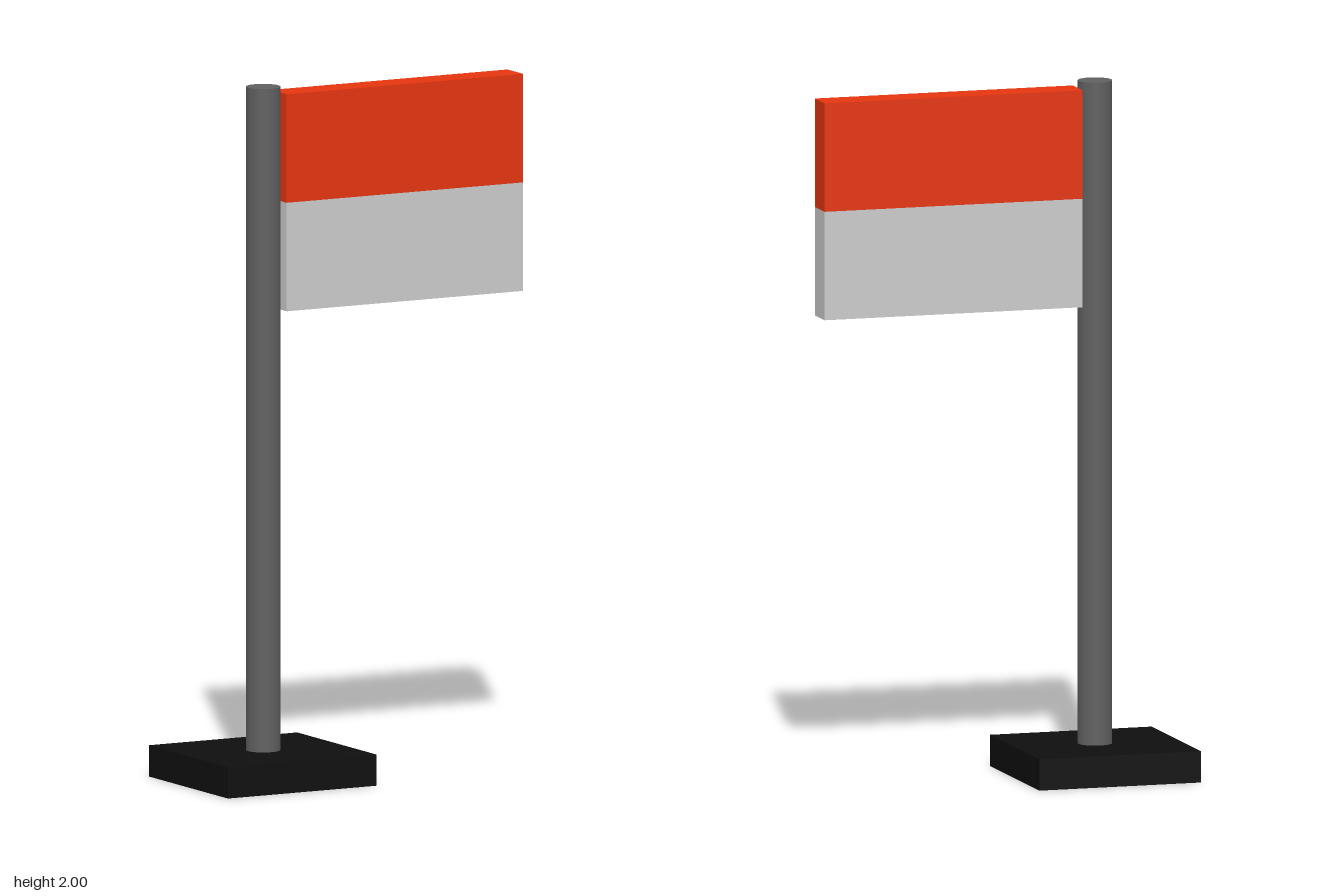
import * as THREE from 'three';

export function createModel() {
  const group = new THREE.Group();

  const add = (name, geometry, color, x, y, z = 0) => {
    const mesh = new THREE.Mesh(geometry, new THREE.MeshStandardMaterial({ color }));
    mesh.name = name;
    mesh.position.set(x, y, z);
    group.add(mesh);
  };

  // Square foot and the round pole standing on it
  const baseHeight = 0.09;
  const poleX = -0.29;
  const poleHeight = 2 - baseHeight;
  add('base', new THREE.BoxGeometry(0.483, baseHeight, 0.463), 0x0f0f0f, -0.2915, baseHeight / 2, -0.001);
  add('pole', new THREE.CylinderGeometry(0.049, 0.049, poleHeight, 32), 0x606060, poleX, baseHeight + poleHeight / 2);

  // Thick flag of two equal horizontal bands
  const bandHeight = 0.3125;
  const flagBottom = 1.355;
  const bands = [['lowerFlagBand', 0xcccccc], ['upperFlagBand', 0xe6350f]];
  bands.forEach(([name, color], i) => {
    add(name, new THREE.BoxGeometry(0.77, bandHeight, 0.092), color, 0.146, flagBottom + bandHeight * (i + 0.5));
  });

  return group;
}
